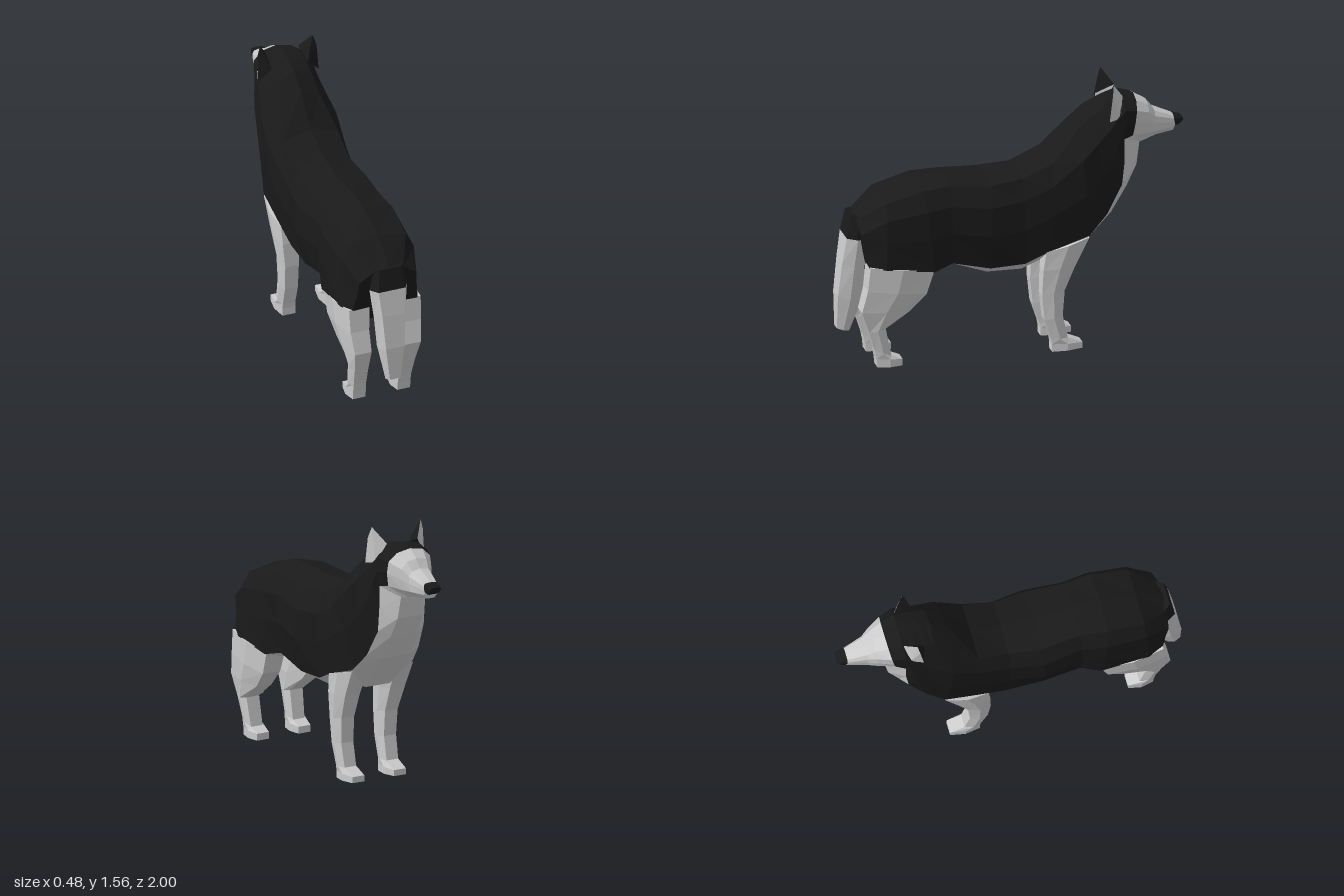
import * as THREE from 'three';

const fur = { color: 0xcccccc, flatShading: true, side: THREE.DoubleSide };
const grey = new THREE.MeshStandardMaterial(fur);
const black = new THREE.MeshStandardMaterial({ ...fur, color: 0x1a1a1a });
const V = (x, y, z) => new THREE.Vector3(x, y, z);

function meshFrom(name, points, material) {
  const geometry = new THREE.BufferGeometry().setFromPoints(points);
  geometry.computeVertexNormals();
  const mesh = new THREE.Mesh(geometry, material);
  mesh.name = name;
  return mesh;
}

// Skins a run of closed rings; keep(ring, strip) chooses which quads belong to the part
function loft(name, rings, material, { keep = () => true, capStart = false, capEnd = false } = {}) {
  const out = [];
  const n = rings[0].length;
  for (let i = 0; i < rings.length - 1; i++) {
    for (let j = 0; j < n; j++) {
      if (!keep(i, j)) continue;
      const k = (j + 1) % n;
      const [a, b, c, d] = [rings[i][j], rings[i][k], rings[i + 1][k], rings[i + 1][j]];
      out.push(a, b, c, a, c, d);
    }
  }
  const cap = (ring, flip) => {
    const mid = ring.reduce((s, p) => s.add(p), V(0, 0, 0)).divideScalar(n);
    for (let j = 0; j < n; j++) {
      const k = (j + 1) % n;
      out.push(mid, ring[flip ? k : j], ring[flip ? j : k]);
    }
  };
  if (capStart) cap(rings[0], true);
  if (capEnd) cap(rings[rings.length - 1], false);
  return meshFrom(name, out, material);
}

// Torso section from its top, coat edge and underside (z, y pairs) plus half widths
function section([tz, ty, sz, sy, bz, by, w, ws, wb, wt = w * 0.75]) {
  const at = (x, t) => V(x, ty + (sy - ty) * t, tz + (sz - tz) * t);
  const half = [at(0, 0), at(wt, 0.08), at(w * 0.97, 0.3), at(w, 0.62), at(ws, 1), V(wb, by, bz), V(0, by, bz)];
  const mirrored = half.slice(1, 6).reverse().map(p => V(-p.x, p.y, p.z));
  return [...half, ...mirrored];
}
const isCoat = j => j < 4 || j > 7;

// Limb section from back and front edges (z, y pairs) and inner / outer x
function limbRing([bz, by, fz, fy, xi, xo], side) {
  const inset = (xo - xi) * 0.14;
  const my = (by + fy) / 2, mz = (bz + fz) / 2;
  const ring = [
    V(xo - inset, fy, fz), V(xo, my, mz), V(xo - inset, by, bz),
    V(xi + inset, by, bz), V(xi, my, mz), V(xi + inset, fy, fz),
  ];
  return side > 0 ? ring : ring.map(p => V(-p.x, p.y, p.z)).reverse();
}

function ear(side) {
  const p = (x, y, z) => V(x * side, y, z);
  const tip = p(0.16, 1.56, -0.57), inner = p(0.1, 1.47, -0.635), back = p(0.11, 1.42, -0.52);
  const edge = p(0.18, 1.5, -0.56), low = p(0.185, 1.35, -0.54), front = p(0.16, 1.36, -0.61);
  const wind = pts => {
    if (side < 0) for (let i = 0; i < pts.length; i += 3) [pts[i], pts[i + 1]] = [pts[i + 1], pts[i]];
    return pts;
  };
  const group = new THREE.Group();
  group.name = side > 0 ? 'leftEar' : 'rightEar';
  group.add(
    meshFrom('earBack', wind([tip, inner, back, tip, back, edge, edge, back, low]), black),
    meshFrom('earInside', wind([tip, front, inner, tip, edge, front, edge, low, front]), grey),
  );
  return group;
}

export function createModel() {
  const model = new THREE.Group();
  model.name = 'dog';

  // Torso and neck, rump to skull
  const torso = [
    [0.91, 0.88, 0.85, 0.6, 0.83, 0.52, 0.18, 0.2, 0.09, 0.09],
    [0.75, 1.0, 0.76, 0.595, 0.74, 0.5, 0.225, 0.235, 0.09],
    [0.54, 1.07, 0.48, 0.56, 0.48, 0.53, 0.238, 0.23, 0.1],
    [0.38, 1.08, 0.37, 0.59, 0.37, 0.565, 0.215, 0.19, 0.1],
    [0.15, 1.07, 0.15, 0.54, 0.15, 0.49, 0.24, 0.19, 0.1],
    [-0.04, 1.09, -0.05, 0.55, -0.05, 0.49, 0.212, 0.19, 0.1],
    [-0.22, 1.17, -0.18, 0.61, -0.18, 0.54, 0.222, 0.2, 0.09],
    [-0.36, 1.34, -0.42, 0.69, -0.37, 0.56, 0.23, 0.2, 0.08, 0.12],
    [-0.45, 1.42, -0.53, 0.8, -0.57, 0.78, 0.205, 0.17, 0.09, 0.11],
    [-0.5, 1.435, -0.62, 0.96, -0.66, 0.93, 0.19, 0.15, 0.09, 0.11],
    [-0.56, 1.45, -0.635, 1.1, -0.72, 1.05, 0.18, 0.15, 0.08, 0.11],
    [-0.64, 1.47, -0.635, 1.23, -0.74, 1.18, 0.165, 0.15, 0.07, 0.1],
  ].map(section);
  model.add(
    loft('coat', torso, black, { keep: (i, j) => isCoat(j), capStart: true }),
    loft('underside', torso, grey, { keep: (i, j) => !isCoat(j) }),
  );

  // Head: dark crown, pale face and muzzle, dark nose
  const head = [
    torso[torso.length - 1],
    section([-0.72, 1.45, -0.69, 1.24, -0.75, 1.18, 0.14, 0.125, 0.065, 0.085]),
    section([-0.79, 1.41, -0.79, 1.235, -0.79, 1.19, 0.1, 0.09, 0.055, 0.065]),
    section([-0.83, 1.36, -0.84, 1.235, -0.84, 1.205, 0.075, 0.07, 0.045, 0.055]),
    section([-0.955, 1.305, -0.95, 1.24, -0.945, 1.215, 0.045, 0.042, 0.025, 0.035]),
  ];
  const nose = [
    section([-0.945, 1.309, -0.95, 1.26, -0.95, 1.25, 0.047, 0.044, 0.025, 0.037]),
    section([-0.975, 1.302, -0.97, 1.25, -0.97, 1.244, 0.043, 0.04, 0.025, 0.034]),
    section([-1, 1.29, -1, 1.27, -1, 1.263, 0.034, 0.032, 0.02, 0.028]),
  ];
  model.add(
    loft('crown', head.slice(0, 2), black, { keep: (i, j) => isCoat(j) }),
    loft('throat', head.slice(0, 2), grey, { keep: (i, j) => !isCoat(j) }),
    loft('face', head.slice(1), grey, { capEnd: true }),
    loft('nose', nose, black, { capStart: true, capEnd: true }),
    ear(1), ear(-1),
  );

  // Legs, top to paw
  const frontLeg = [
    [-0.17, 0.61, -0.42, 0.68, 0.07, 0.222],
    [-0.155, 0.5, -0.34, 0.52, 0.08, 0.215],
    [-0.15, 0.35, -0.28, 0.37, 0.085, 0.2],
    [-0.165, 0.2, -0.27, 0.22, 0.085, 0.195],
    [-0.205, 0.08, -0.3, 0.085, 0.085, 0.19],
    [-0.21, 0.05, -0.385, 0.05, 0.082, 0.19],
    [-0.21, 0.005, -0.385, 0.015, 0.082, 0.19],
  ];
  const backLeg = [
    [0.85, 0.61, 0.48, 0.57, 0.07, 0.242],
    [0.865, 0.47, 0.525, 0.43, 0.08, 0.237],
    [0.895, 0.34, 0.62, 0.33, 0.08, 0.22],
    [0.85, 0.21, 0.755, 0.23, 0.085, 0.2],
    [0.815, 0.1, 0.72, 0.065, 0.085, 0.19],
    [0.805, 0.05, 0.655, 0.04, 0.082, 0.19],
    [0.8, 0, 0.655, 0, 0.082, 0.19],
  ];
  for (const side of [1, -1]) {
    const label = side > 0 ? 'left' : 'right';
    for (const [part, rows] of [['FrontLeg', frontLeg], ['BackLeg', backLeg]]) {
      const rings = rows.map(r => limbRing(r, side));
      model.add(loft(label + part, rings, grey, { capStart: true, capEnd: true }));
    }
  }

  // Tail hanging from the rump, dark at the root
  const tail = [
    [0.93, 0.88, 0.86, 0.87, 0.09],
    [0.955, 0.75, 0.84, 0.74, 0.115],
    [0.978, 0.6, 0.85, 0.55, 0.095],
    [1, 0.4, 0.865, 0.36, 0.078],
    [1, 0.2, 0.93, 0.18, 0.045],
  ].map(([bz, by, fz, fy, w]) => limbRing([bz, by, fz, fy, -w, w], 1));
  model.add(
    loft('tailRoot', tail.slice(0, 2), black, { capStart: true }),
    loft('tail', tail.slice(1), grey, { capEnd: true }),
  );

  return model;
}
